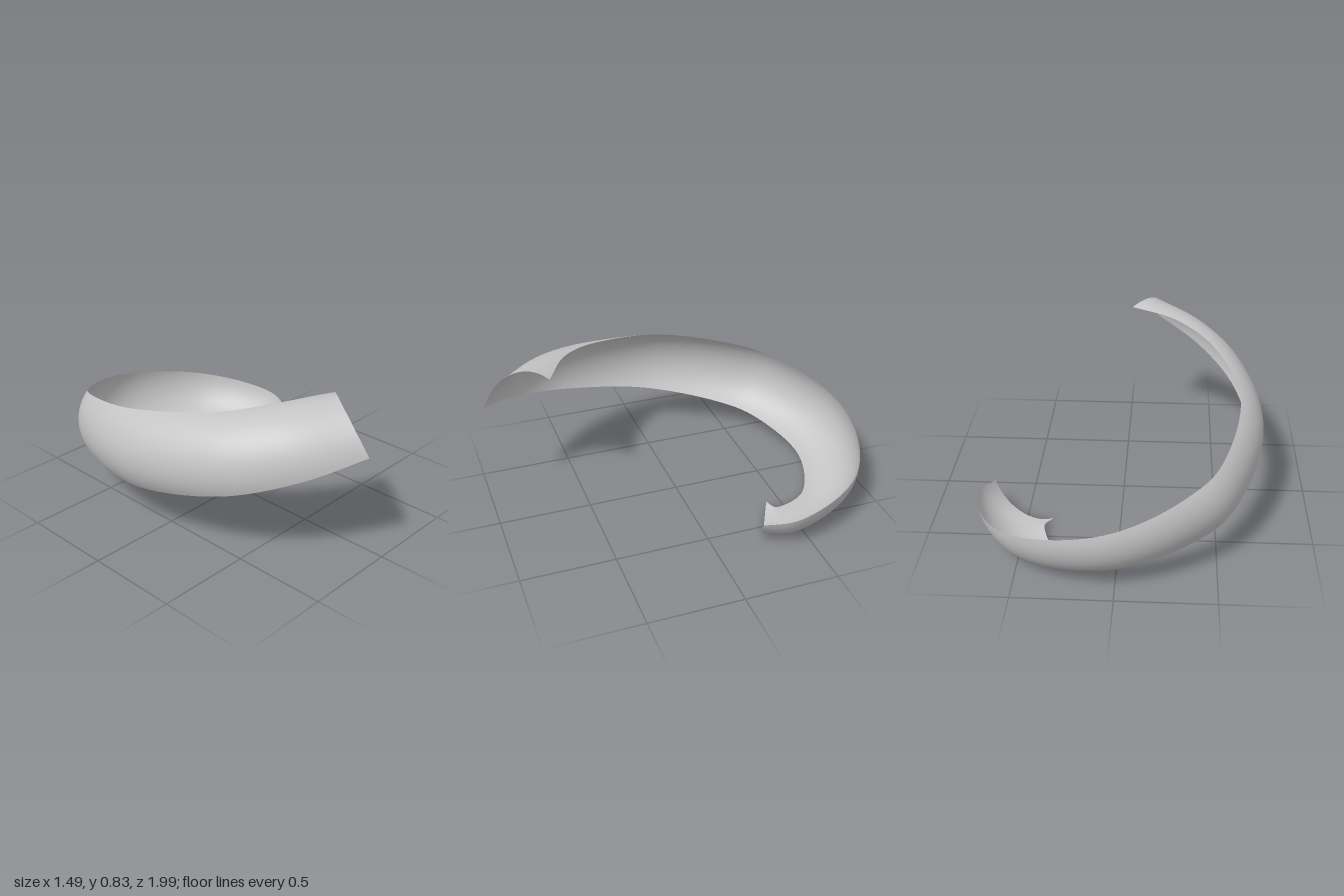
import * as THREE from 'three';

// Stations along the ribbon: arc centre x, y, z, then outward azimuth (deg),
// chord tilt (deg) and backward lean of the section.
const stations = [
  [0.48, 0.245, -0.33, 28, 17, 0],
  [0.5, 0.245, -0.45, 0, 27, 0],
  [0.355, 0.257, -0.67, -45, 39, 0.05],
  [0.05, 0.3, -0.75, -93, 54, 0.1],
  [-0.23, 0.34, -0.64, -131, 72, 0.14],
  [-0.39, 0.372, -0.47, -148, 84, 0.18],
  [-0.5, 0.435, -0.07, -180, 102, 0.22],
  [-0.42, 0.49, 0.35, -203, 120, 0.32],
  [-0.235, 0.545, 0.625, -218.5, 135, 0.42],
  [0.01, 0.58, 0.82, -231, 152, 0.5],
];
const RADIUS = 0.247;
const HALF_ARC = 52;
const LENGTH_STEPS = 90;
const ARC_STEPS = 20;

const spline = (start) => new THREE.CatmullRomCurve3(
  stations.map((s) => new THREE.Vector3(s[start], s[start + 1], s[start + 2])),
  false, 'catmullrom', 0.5);

// Sweep a circular arc that rolls from floor to outer wall to roof
function ribbonGeometry() {
  const centre = spline(0);
  const attitude = spline(3);
  const positions = [];
  const uvs = [];
  const index = [];
  const rad = THREE.MathUtils.degToRad;
  for (let i = 0; i <= LENGTH_STEPS; i++) {
    const u = i / LENGTH_STEPS;
    const c = centre.getPoint(u);
    const a = attitude.getPoint(u);
    const az = rad(a.x);
    const outward = [Math.cos(az), Math.sin(az)];
    const forward = [Math.sin(az), -Math.cos(az)];
    for (let j = 0; j <= ARC_STEPS; j++) {
      const v = j / ARC_STEPS;
      const angle = rad(a.y - 90 + (v * 2 - 1) * HALF_ARC);
      const out = RADIUS * Math.cos(angle);
      const up = RADIUS * Math.sin(angle);
      const back = a.z * up;
      positions.push(
        c.x + out * outward[0] - back * forward[0],
        c.y + up,
        c.z + out * outward[1] - back * forward[1]);
      uvs.push(u, v);
      if (i < LENGTH_STEPS && j < ARC_STEPS) {
        const p = i * (ARC_STEPS + 1) + j;
        const q = p + ARC_STEPS + 1;
        index.push(p, q, p + 1, q, q + 1, p + 1);
      }
    }
  }
  const geometry = new THREE.BufferGeometry();
  geometry.setAttribute('position', new THREE.Float32BufferAttribute(positions, 3));
  geometry.setAttribute('uv', new THREE.Float32BufferAttribute(uvs, 2));
  geometry.setIndex(index);
  geometry.computeVertexNormals();
  // Rest the lowest point on the ground
  geometry.computeBoundingBox();
  geometry.translate(0, -geometry.boundingBox.min.y, 0);
  return geometry;
}

export function createModel() {
  const group = new THREE.Group();
  group.name = 'spiralChannel';
  const grey = new THREE.MeshStandardMaterial({ color: 0xc4c4c4, side: THREE.DoubleSide });
  grey.name = 'light grey';
  const ribbon = new THREE.Mesh(ribbonGeometry(), grey);
  ribbon.name = 'curvedRibbon';
  group.add(ribbon);
  return group;
}
